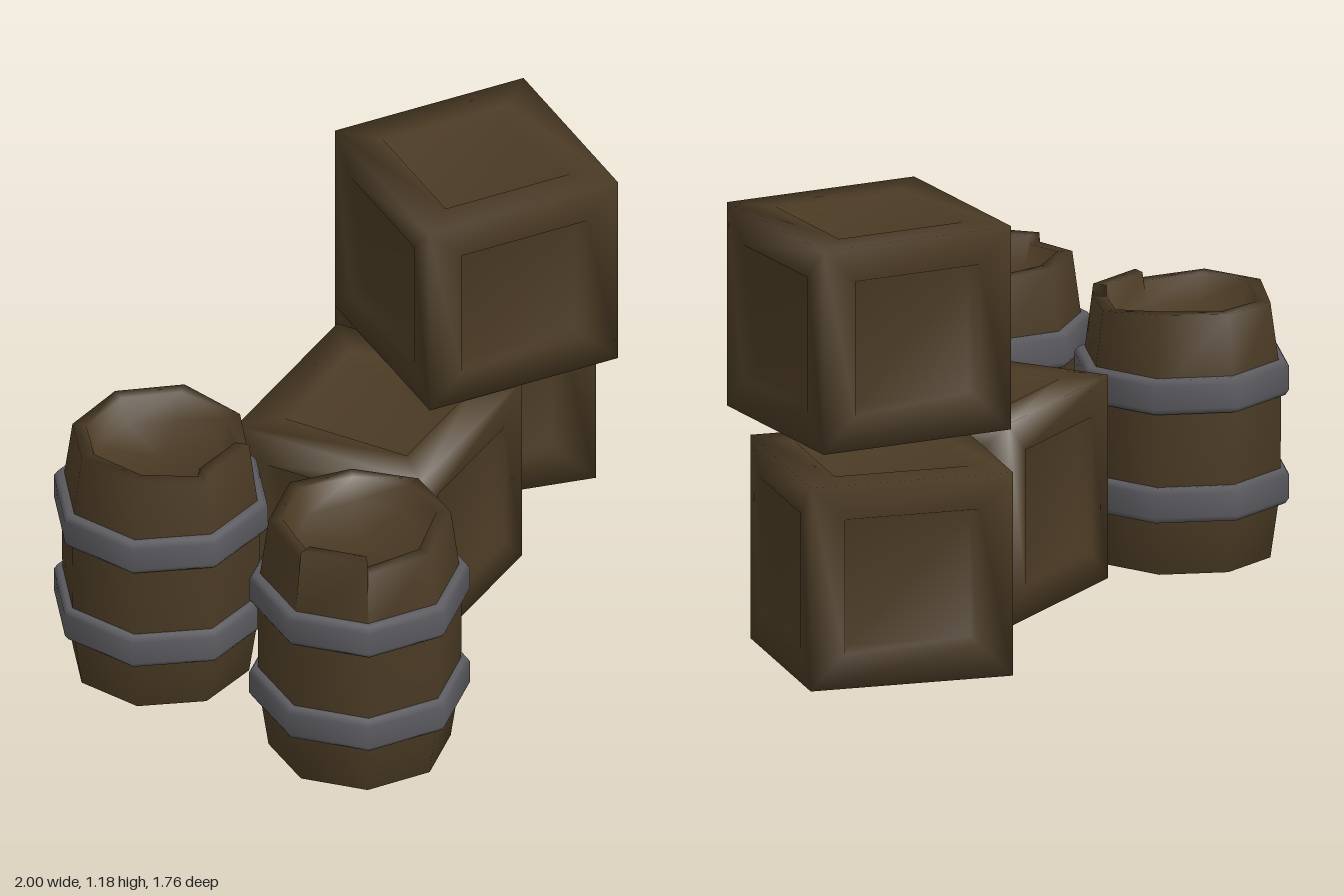
import * as THREE from 'three';
import { mergeGeometries, mergeVertices } from 'three/addons/utils/BufferGeometryUtils.js';

const wood = new THREE.MeshStandardMaterial({ color: 0x4a3a24 });
wood.name = 'dark wood';
const iron = new THREE.MeshStandardMaterial({ color: 0x5b5a5f });
iron.name = 'grey iron';

function geometryFrom(points, index) {
  const g = new THREE.BufferGeometry();
  g.setAttribute('position', new THREE.Float32BufferAttribute(points, 3));
  g.setIndex(index);
  return g;
}

// Crate: six framed faces with a sunken panel, welded for soft shading
function crateGeometry() {
  const H = 0.294;
  const rings = [[H, H], [0.195, H], [0.18, 0.255]]; // half width, distance out
  const corners = [[-1, -1], [1, -1], [1, 1], [-1, 1]];
  const points = [], index = [];
  for (const [h, d] of rings) for (const [x, y] of corners) points.push(x * h, y * h, d);
  for (let r = 0; r < 2; r++) {
    for (let c = 0; c < 4; c++) {
      const a = r * 4 + c, b = r * 4 + (c + 1) % 4;
      index.push(a, b, b + 4, a, b + 4, a + 4);
    }
  }
  index.push(8, 9, 10, 8, 10, 11);
  const face = geometryFrom(points, index);
  const faces = [face.clone().rotateX(Math.PI / 2), face.clone().rotateX(-Math.PI / 2)];
  for (let i = 0; i < 4; i++) faces.push(face.clone().rotateY(i * Math.PI / 2));
  const g = mergeVertices(mergeGeometries(faces), 1e-4);
  g.computeVertexNormals();
  return g.translate(0, H, 0);
}

const SIDES = 8;
const START = THREE.MathUtils.degToRad(-86);
const STEP = Math.PI * 2 / SIDES;

// Barrel body: eight staves with an uneven rim, one stave standing higher
function barrelGeometry() {
  const tops = [0.745, 0.75, 0.73, 0.72, 0.73, 0.75, 0.752, 0.738];
  const columns = [];
  tops.forEach((top, k) => {
    if (k === 4) columns.push([k, 0.757]);
    columns.push([k, top]);
    if (k === 3) columns.push([k, 0.757]);
  });
  const points = [], index = [];
  let rows = 0;
  for (const [k, top] of columns) {
    const a = START + k * STEP;
    const profile = [
      [0, 0.05], [0.19, 0.05], [0.212, 0], [0.255, 0], [0.284, 0.2],
      [0.286, 0.52], [0.255, top], [0.215, top], [0.19, 0.67], [0, 0.67],
    ];
    rows = profile.length;
    for (const [r, y] of profile) points.push(r * Math.cos(a), y, r * Math.sin(a));
  }
  for (let i = 0; i < columns.length; i++) {
    const next = (i + 1) % columns.length;
    for (let j = 0; j < rows - 1; j++) {
      const a = i * rows + j, b = next * rows + j;
      index.push(a, a + 1, b, b, a + 1, b + 1);
    }
  }
  const g = mergeVertices(geometryFrom(points, index), 1e-4);
  g.computeVertexNormals();
  return g;
}

// Hoop: closed bevelled section swept round the barrel
function hoopGeometry() {
  const section = [[0.27, -0.05], [0.298, -0.05], [0.309, -0.034], [0.309, 0.034], [0.298, 0.05], [0.27, 0.05]]
    .map(([r, y]) => new THREE.Vector2(r, y));
  return new THREE.LatheGeometry(section, SIDES, Math.PI / 2 - START);
}

export function createModel() {
  const model = new THREE.Group();
  model.name = 'cratesAndBarrels';
  const add = (parent, name, geometry, material) => {
    const mesh = new THREE.Mesh(geometry, material);
    mesh.name = name;
    parent.add(mesh);
    return mesh;
  };

  // Three stacked crates: name, position, turn
  const crate = crateGeometry();
  for (const [name, x, y, z, turn] of [
    ['middleCrate', 0.035, 0, -0.065, 0.475],
    ['backCrate', 0.63, 0, -0.515, -0.315],
    ['topCrate', 0.455, 0.594, -0.2, -0.128],
  ]) {
    const mesh = add(model, name, crate, wood);
    mesh.position.set(x, y, z);
    mesh.rotation.y = turn;
  }

  // Two barrels, each with two hoops
  const body = barrelGeometry(), hoop = hoopGeometry();
  for (const [name, x, z, turn] of [
    ['backBarrel', -0.691, -0.077, 0],
    ['frontBarrel', -0.463, 0.576, THREE.MathUtils.degToRad(-70)],
  ]) {
    const barrel = new THREE.Group();
    barrel.name = name;
    add(barrel, 'barrelBody', body, wood);
    add(barrel, 'lowerHoop', hoop, iron).position.y = 0.21;
    add(barrel, 'upperHoop', hoop, iron).position.y = 0.523;
    barrel.position.set(x, 0, z);
    barrel.rotation.y = turn;
    model.add(barrel);
  }
  return model;
}
